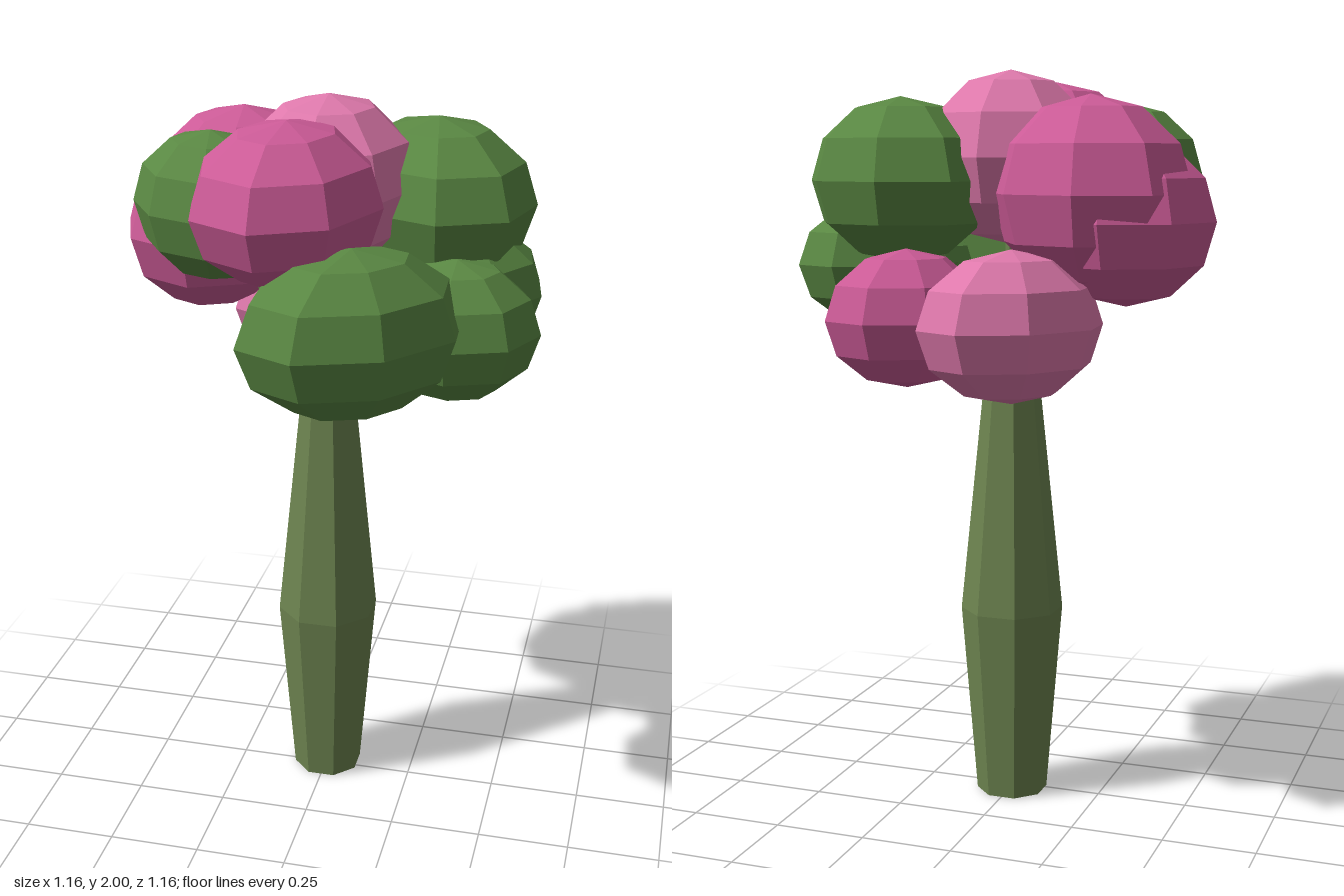
import * as THREE from 'three';

const material = (color) => new THREE.MeshStandardMaterial({ color, flatShading: true });

export function createModel() {
  const tree = new THREE.Group();
  tree.name = 'tree';
  const green = material(0x5a8843);
  const pink = material(0xcc5b97);
  const lightPink = material(0xdf79ac);
  const bark = material(0x6d8450);

  const add = (name, geometry, mat) => {
    const mesh = new THREE.Mesh(geometry, mat);
    mesh.name = name;
    tree.add(mesh);
    return mesh;
  };

  // Trunk: eight-sided, swollen at the middle
  const profile = [[0, 0], [0.098, 0], [0.141, 0.53], [0.066, 1.27], [0.052, 1.42], [0, 1.42]];
  const trunk = add('trunk', new THREE.LatheGeometry(
    profile.map(([r, y]) => new THREE.Vector2(r, y)), 8, Math.PI / 8), bark);
  trunk.position.z = -0.023;

  // Branches: thin tapered sticks from the trunk into the foliage
  const up = new THREE.Vector3(0, 1, 0);
  const branches = [
    [[0.04, 1.13, -0.01], [0.32, 1.42, 0.08]],
    [[0.02, 1.14, 0.02], [0.1, 1.45, 0.24]],
    [[0.03, 1.16, -0.05], [0.17, 1.32, -0.25]],
    [[-0.02, 1.13, -0.06], [-0.1, 1.3, -0.27]],
    [[-0.05, 1.22, -0.03], [-0.22, 1.62, -0.1]],
    [[-0.04, 1.2, 0.0], [-0.22, 1.65, 0.06]],
    [[0.03, 1.2, -0.04], [0.22, 1.6, -0.13]],
    [[-0.01, 1.35, 0.0], [-0.05, 1.7, 0.15]],
    [[0, 1.38, -0.02], [0, 1.7, -0.03]],
  ];
  for (const [a, b] of branches) {
    const start = new THREE.Vector3(...a), end = new THREE.Vector3(...b);
    const branch = add('branch', new THREE.CylinderGeometry(0.014, 0.02, start.distanceTo(end), 6), bark);
    branch.position.copy(start).lerp(end, 0.5);
    branch.quaternion.setFromUnitVectors(up, end.sub(start).normalize());
  }

  // Foliage: flattened faceted balls, given as centre, radii and sideways skew
  const clumps = [
    ['topClump', lightPink, [0, 1.77, -0.03], [0.24, 0.23, 0.26], 0],
    ['frontUpperClump', pink, [-0.055, 1.77, 0.19], [0.245, 0.205, 0.305], -0.02],
    ['backRightUpperClump', pink, [-0.265, 1.68, -0.17], [0.27, 0.25, 0.26], 0.03],
    ['rightMiddleClump', pink, [-0.35, 1.61, -0.125], [0.235, 0.22, 0.27], 0],
    ['rightUpperClump', green, [-0.285, 1.72, 0.075], [0.215, 0.195, 0.2], 0.04],
    ['leftUpperClump', green, [0.265, 1.71, -0.155], [0.265, 0.22, 0.265], 0.04],
    ['frontLowerClump', green, [0.14, 1.49, 0.325], [0.26, 0.215, 0.255], -0.09],
    ['leftLowerClump', green, [0.36, 1.435, 0.08], [0.22, 0.185, 0.2], 0],
    ['leftMiddleClump', green, [0.36, 1.485, -0.08], [0.2, 0.175, 0.21], -0.05],
    ['backLowerClump', lightPink, [-0.115, 1.35, -0.35], [0.21, 0.195, 0.235], -0.06],
    ['backLeftLowerClump', pink, [0.185, 1.36, -0.315], [0.2, 0.18, 0.21], -0.03],
  ];
  for (const [name, mat, [x, y, z], [rx, ry, rz], skew] of clumps) {
    const shape = new THREE.Matrix4().set(
      rx, 0, skew, 0,
      0, ry, 0, 0,
      0, 0, rz, 0,
      0, 0, 0, 1);
    add(name, new THREE.SphereGeometry(1, 8, 6).applyMatrix4(shape), mat).position.set(x, y, z);
  }
  return tree;
}
